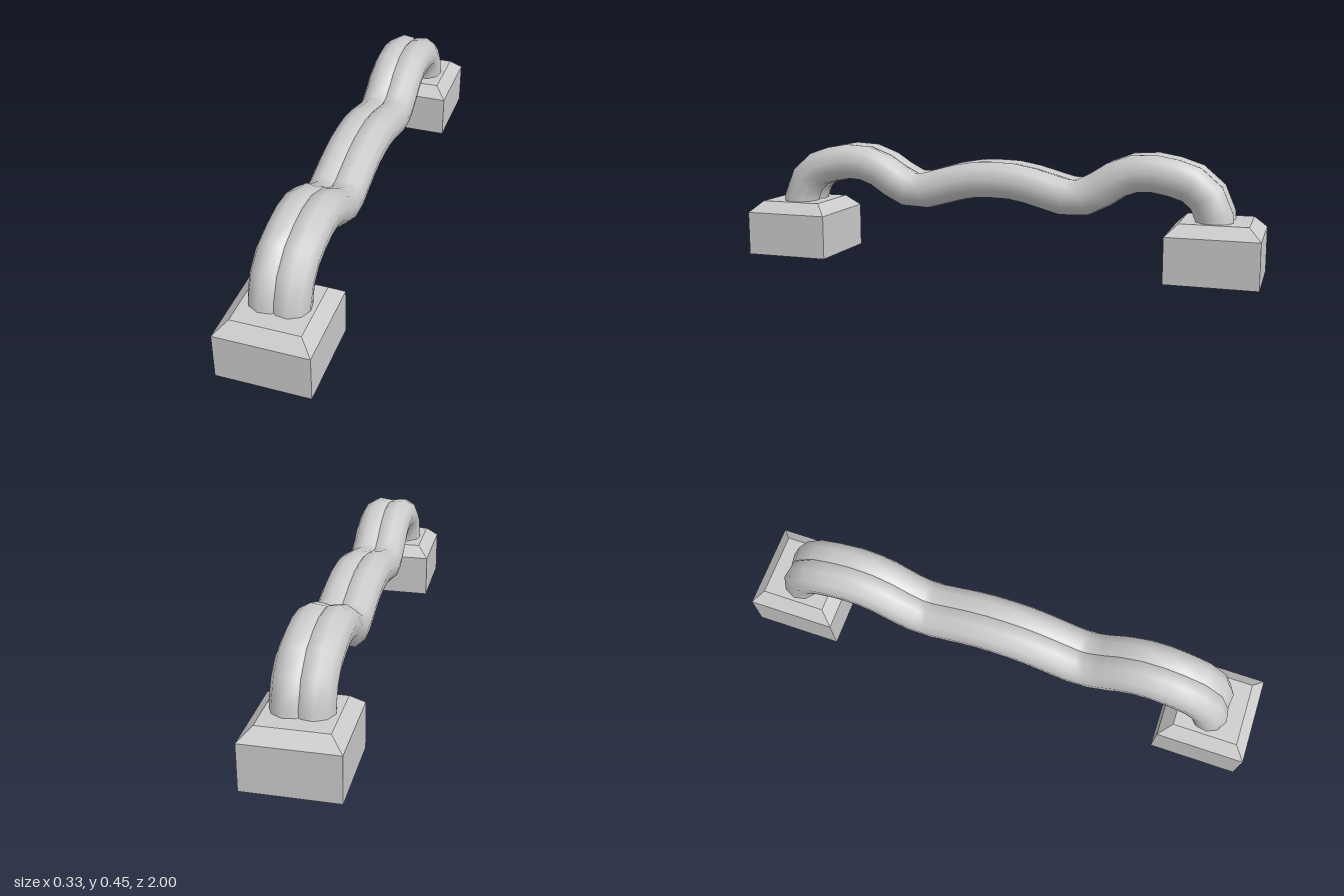
import * as THREE from 'three';

const SIDES = 10, RINGS = 28, RADIUS = 0.071;

// Sweep a ten-sided ring along a path lying in the YZ plane
function sweepTube(curve, x, phase) {
  const positions = [], index = [];
  for (let i = 0; i <= RINGS; i++) {
    const p = curve.getPointAt(i / RINGS), t = curve.getTangentAt(i / RINGS);
    for (let j = 0; j < SIDES; j++) {
      const a = phase + (j / SIDES) * Math.PI * 2;
      const across = RADIUS * Math.cos(a), out = RADIUS * Math.sin(a);
      positions.push(x + across, p.y - t.z * out, p.z + t.y * out);
      if (i === RINGS) continue;
      const k = (j + 1) % SIDES, r = i * SIDES, n = r + SIDES;
      index.push(r + j, n + j, r + k, n + j, n + k, r + k);
    }
  }
  const geometry = new THREE.BufferGeometry();
  geometry.setAttribute('position', new THREE.Float32BufferAttribute(positions, 3));
  geometry.setIndex(index);
  geometry.computeVertexNormals();
  return geometry;
}

export function createModel() {
  const group = new THREE.Group();
  const smooth = new THREE.MeshStandardMaterial({ color: 0xcccccc, side: THREE.DoubleSide });
  const flat = new THREE.MeshStandardMaterial({ color: 0xcccccc, flatShading: true });

  // Half of the wavy centre line as [z, y], mirrored to the back
  const half = [
    [0.83, 0.16], [0.828, 0.215], [0.808, 0.28], [0.76, 0.333], [0.68, 0.363], [0.57, 0.377],
    [0.485, 0.355], [0.40, 0.303], [0.32, 0.271], [0.21, 0.294], [0.10, 0.322],
  ];
  const path = [...half, [0, 0.328], ...half.map(([z, y]) => [-z, y]).reverse()];
  const curve = new THREE.CatmullRomCurve3(path.map(([z, y]) => new THREE.Vector3(0, y, z)));

  // Pair of overlapping tubes forming the grip
  for (const side of [1, -1]) {
    const tube = new THREE.Mesh(sweepTube(curve, side * 0.038, side * 0.127), smooth);
    tube.name = side > 0 ? 'leftTube' : 'rightTube';
    group.add(tube);
  }

  // Square mounting blocks with a bevelled top
  const profile = [[0, 0], [0.1667, 0], [0.1667, 0.17], [0.122, 0.213], [0, 0.213]]
    .map(([r, y]) => new THREE.Vector2(r * Math.SQRT2, y));
  const blockGeometry = new THREE.LatheGeometry(profile, 4, Math.PI / 4);
  for (const end of [1, -1]) {
    const block = new THREE.Mesh(blockGeometry, flat);
    block.name = end > 0 ? 'frontBlock' : 'backBlock';
    block.position.z = end * 0.8333;
    group.add(block);
  }
  return group;
}
